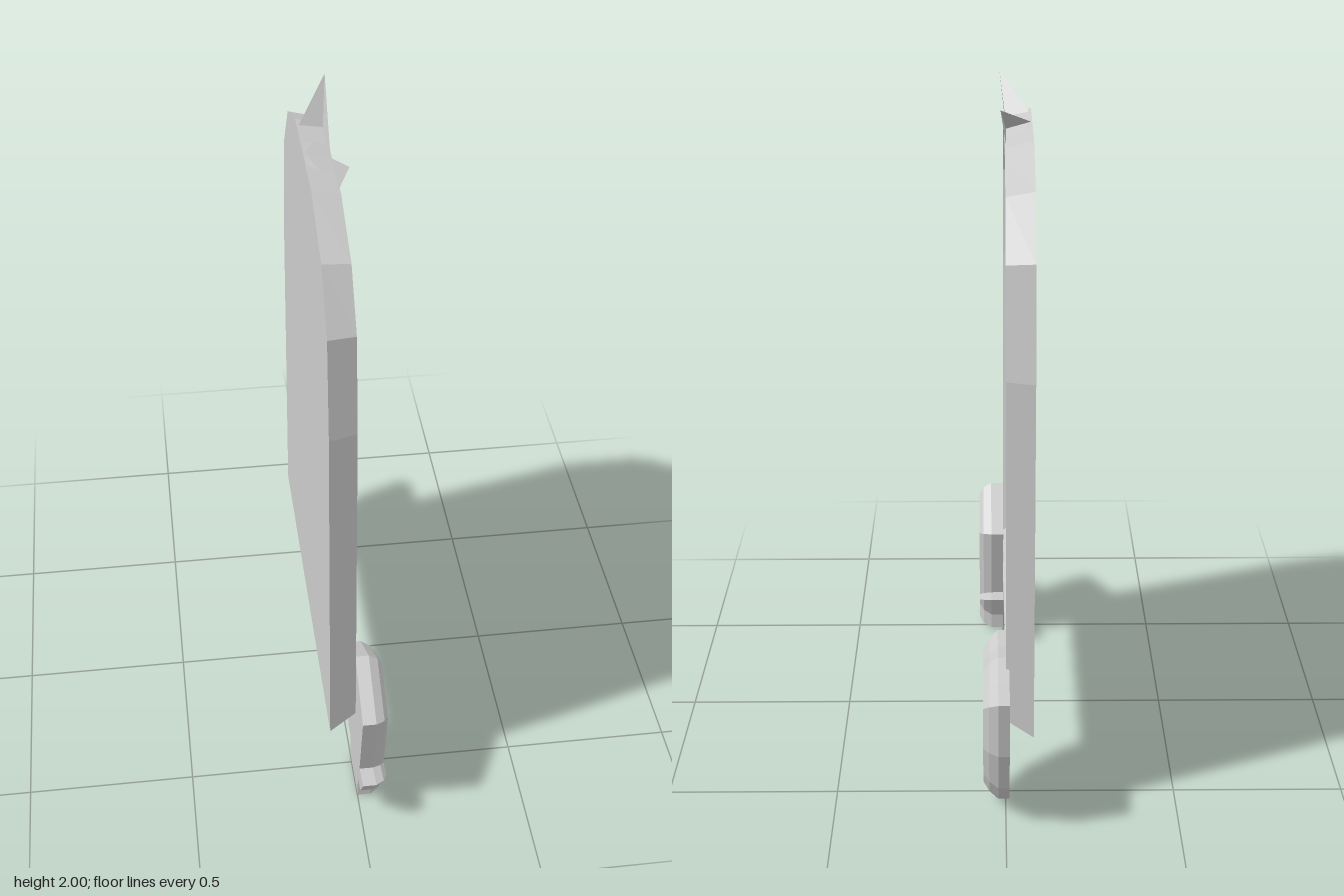
import * as THREE from 'three';

const material = new THREE.MeshStandardMaterial({ color: 0xcccccc, flatShading: true });

// Outlines are [u, y] points running counter-clockwise; u points to -z and depth to +x.
const place = ([u, y], depth) => [depth, y, -u];

function meshFrom(name, positions) {
  const geometry = new THREE.BufferGeometry();
  geometry.setAttribute('position', new THREE.Float32BufferAttribute(positions, 3));
  geometry.computeVertexNormals();
  const mesh = new THREE.Mesh(geometry, material);
  mesh.name = name;
  return mesh;
}

// Skins a stack of { points, depth } rings from back to front, with optional caps.
function loft(name, rings, backCap = true, frontCap = true) {
  const out = [];
  const n = rings[0].points.length;
  for (let r = 0; r + 1 < rings.length; r++) {
    const a = rings[r], b = rings[r + 1];
    for (let i = 0; i < n; i++) {
      const j = (i + 1) % n;
      const p = place(a.points[i], a.depth), q = place(a.points[j], a.depth);
      const s = place(b.points[j], b.depth), t = place(b.points[i], b.depth);
      out.push(...p, ...q, ...s, ...p, ...s, ...t);
    }
  }
  const cap = ({ points, depth }, flip) => {
    const contour = points.map(([u, y]) => new THREE.Vector2(u, y));
    for (const [a, b, c] of THREE.ShapeUtils.triangulateShape(contour, [])) {
      for (const k of flip ? [a, c, b] : [a, b, c]) out.push(...place(points[k], depth));
    }
  };
  if (backCap) cap(rings[0], true);
  if (frontCap) cap(rings[rings.length - 1], false);
  return meshFrom(name, out);
}

// Mirrors a half outline (top centre first, down the +u side) into a closed loop.
function mirrored(half, centre) {
  const left = half.filter(([u]) => u > 0).map(([u, y]) => [centre - u, y]);
  const right = half.map(([u, y]) => [centre + u, y]).reverse();
  return [...right, ...left];
}

const mix = (a, b, t) => a.map((p, i) => [p[0] + (b[i][0] - p[0]) * t, p[1] + (b[i][1] - p[1]) * t]);

export function createModel() {
  const model = new THREE.Group();

  // Arched frame: sloping outer wall, flat rim, inner slope down to the panel
  const outer = [
    [-0.6, 0.265], [0.615, 0.265], [0.59, 1.34], [0.53, 1.655], [0.405, 1.815],
    [0.2, 1.9], [-0.2, 1.9], [-0.42, 1.81], [-0.54, 1.655], [-0.575, 1.355],
  ];
  const inner = [
    [-0.53, 0.387], [0.545, 0.387], [0.522, 1.34], [0.475, 1.63], [0.38, 1.768],
    [0.19, 1.842], [-0.19, 1.842], [-0.38, 1.77], [-0.478, 1.63], [-0.51, 1.35],
  ];
  model.add(loft('frame', [
    { points: outer, depth: -0.08 },
    { points: mix(outer, inner, 0.35), depth: 0 },
    { points: mix(outer, inner, 0.67), depth: 0 },
    { points: inner, depth: -0.03 },
  ], true, false));
  model.add(loft('panel', [{ points: inner, depth: -0.03 }], false, true));

  // Pair of slanted spikes on the crown
  for (const side of [-1, 1]) {
    const tip = [0.012, 2, side * 0.265];
    const base = [
      [-0.076, 1.905, 0.008], [-0.005, 1.885, 0.008],
      [-0.005, 1.875, side * 0.17], [-0.08, 1.89, side * 0.155],
    ];
    const out = [];
    const tri = (a, b, c) => out.push(...(side > 0 ? [...a, ...c, ...b] : [...a, ...b, ...c]));
    for (let i = 0; i < 4; i++) tri(base[(i + 1) % 4], base[i], tip);
    tri(base[0], base[1], base[2]);
    tri(base[0], base[2], base[3]);
    model.add(meshFrom(side > 0 ? 'leftSpike' : 'rightSpike', out));
  }

  // Shield on the lower corner, bevelled towards a smaller front face
  const shieldHalf = [
    [0, 0.485], [0.1, 0.463], [0.21, 0.455], [0.188, 0.275], [0.13, 0.13], [0.065, 0.055], [0, 0.005],
  ];
  const shield = (scale) =>
    mirrored(shieldHalf.map(([u, y]) => [u * scale, 0.28 + (y - 0.28) * scale]), 0.54);
  model.add(loft('shield', [
    { points: shield(1), depth: -0.01 },
    { points: shield(1), depth: 0.022 },
    { points: shield(0.9), depth: 0.048 },
    { points: shield(0.78), depth: 0.065 },
  ]));

  // Short pointed blade with guard and grip on the other corner
  const bladeOuter = mirrored([
    [0, 0.525], [0.172, 0.415], [0.115, 0.165], [0.197, 0.18], [0.135, 0.09], [0.083, 0.09], [0.083, 0.01],
  ], -0.555);
  const bladeInner = mirrored([
    [0, 0.485], [0.132, 0.4], [0.072, 0.135], [0.13, 0.145], [0.108, 0.12], [0.055, 0.12], [0.055, 0.04],
  ], -0.555);
  model.add(loft('blade', [
    { points: bladeOuter, depth: 0 },
    { points: bladeOuter, depth: 0.04 },
    { points: mix(bladeOuter, bladeInner, 0.4), depth: 0.066 },
    { points: bladeInner, depth: 0.08 },
  ]));

  return model;
}
